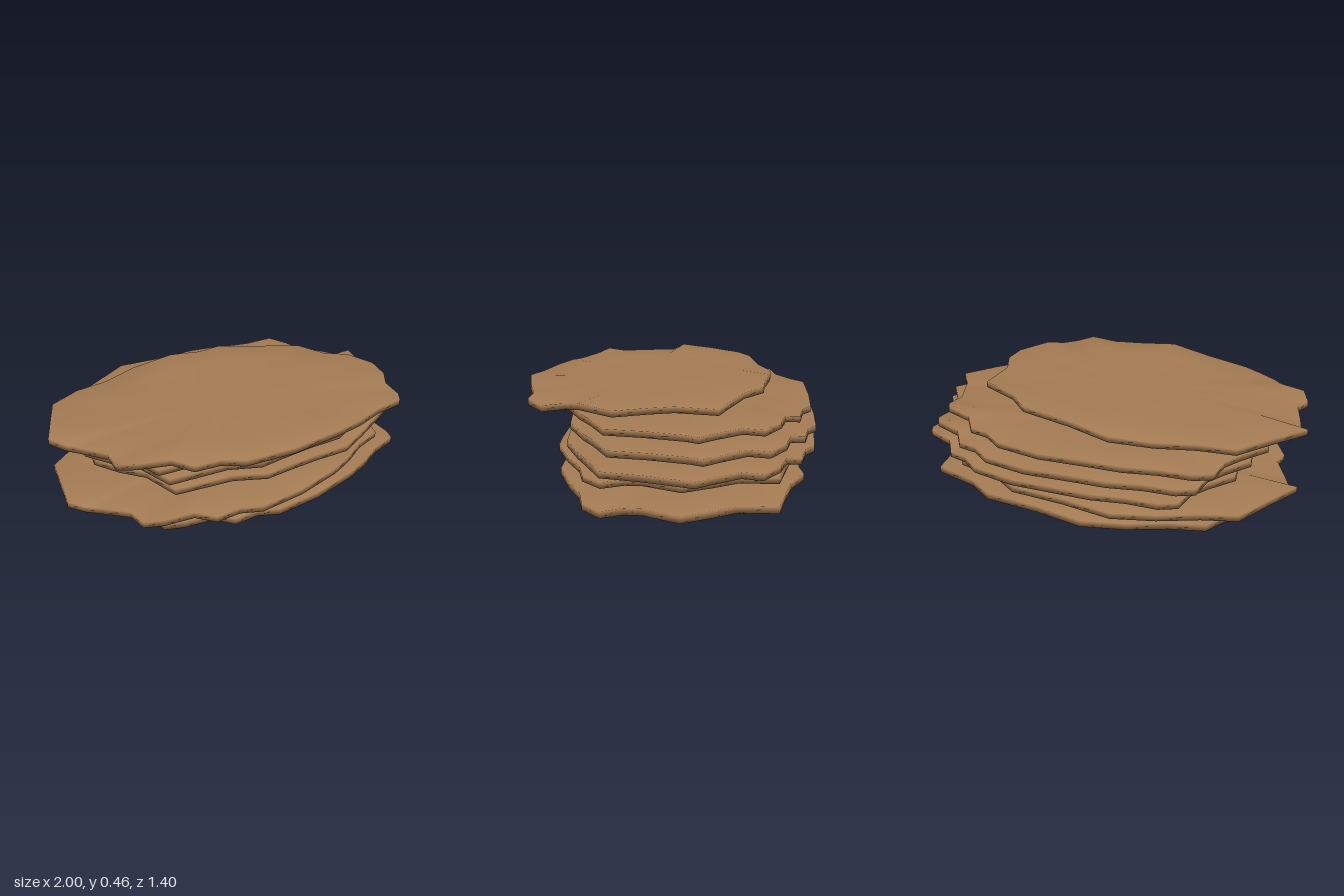
import * as THREE from 'three';

// Ragged rim of one sheet, as [x, z] pairs going round its middle
const RIM = [
  [-0.87, -0.14], [-0.77, -0.30], [-0.67, -0.46], [-0.51, -0.51], [-0.32, -0.55], [-0.12, -0.60],
  [0.10, -0.58], [0.26, -0.54], [0.38, -0.53], [0.51, -0.43], [0.76, -0.31], [0.77, -0.12],
  [0.84, -0.01], [0.87, 0.14], [0.79, 0.29], [0.73, 0.36], [0.71, 0.46], [0.64, 0.53],
  [0.49, 0.53], [0.33, 0.57], [0.16, 0.60], [-0.07, 0.57], [-0.30, 0.52], [-0.39, 0.46],
  [-0.50, 0.42], [-0.56, 0.34], [-0.70, 0.29], [-0.75, 0.21], [-0.73, 0.12], [-0.79, -0.01],
  [-0.82, -0.08],
];

// Each sheet: turn in degrees, then the x, y and z ranges it fills
const SHEETS = [
  { turn: 10, x: [-0.82, 0.94], y: [0.0, 0.068], z: [-0.63, 0.53] },
  { turn: 11, x: [-0.96, 0.79], y: [0.085, 0.147], z: [-0.64, 0.56] },
  { turn: 186, x: [-0.72, 1.0], y: [0.164, 0.228], z: [-0.70, 0.49] },
  { turn: 188, x: [-0.78, 0.94], y: [0.24, 0.306], z: [-0.70, 0.485] },
  { turn: 188, x: [-0.85, 0.885], y: [0.322, 0.384], z: [-0.68, 0.505] },
  { turn: 0, x: [-1.0, 0.74], y: [0.40, 0.462], z: [-0.51, 0.70] },
];

// Rings from the top middle, over the rim, to the bottom middle: [reach, height]
const RINGS = [
  [0.35, 0.015], [0.72, 0.015], [1, 0.013], [1, -0.013], [0.72, -0.015], [0.35, -0.015],
];

function sheetGeometry() {
  const n = RIM.length;
  const positions = [0, 0.015, 0];
  const index = [];
  for (const [reach, height] of RINGS) {
    RIM.forEach(([x, z], i) => {
      // The rim ripples up and down, fading out towards the flat middle
      const a = (i / n) * Math.PI * 2;
      const ripple = 0.008 * Math.sin(5 * a + 0.6) + 0.008 * Math.sin(11 * a + 1);
      positions.push(x * reach, height + ripple * reach ** 4, z * reach);
    });
  }
  positions.push(0, -0.015, 0);
  const last = positions.length / 3 - 1;
  const at = (ring, i) => 1 + ring * n + (i % n);
  for (let i = 0; i < n; i++) {
    index.push(0, at(0, i + 1), at(0, i));
    for (let r = 0; r < RINGS.length - 1; r++) {
      index.push(at(r, i), at(r + 1, i + 1), at(r + 1, i));
      index.push(at(r, i), at(r, i + 1), at(r + 1, i + 1));
    }
    index.push(last, at(RINGS.length - 1, i), at(RINGS.length - 1, i + 1));
  }
  const geometry = new THREE.BufferGeometry();
  geometry.setAttribute('position', new THREE.Float32BufferAttribute(positions, 3));
  geometry.setIndex(index);
  return geometry;
}

// Stretch and move a geometry so that it exactly fills the given ranges
function fit(geometry, { x, y, z }) {
  geometry.computeBoundingBox();
  const { min, max } = geometry.boundingBox;
  geometry.translate(-min.x, -min.y, -min.z);
  geometry.scale(
    (x[1] - x[0]) / (max.x - min.x),
    (y[1] - y[0]) / (max.y - min.y),
    (z[1] - z[0]) / (max.z - min.z),
  );
  geometry.translate(x[0], y[0], z[0]);
}

export function createModel() {
  const brown = new THREE.MeshStandardMaterial({ color: 0xa67d54 });
  brown.name = 'brown';
  const stack = new THREE.Group();
  stack.name = 'stack';
  SHEETS.forEach((sheet, i) => {
    const geometry = sheetGeometry();
    geometry.rotateY(THREE.MathUtils.degToRad(sheet.turn));
    fit(geometry, sheet);
    geometry.computeVertexNormals();
    const mesh = new THREE.Mesh(geometry, brown);
    mesh.name = `sheet${i + 1}`;
    stack.add(mesh);
  });
  return stack;
}
